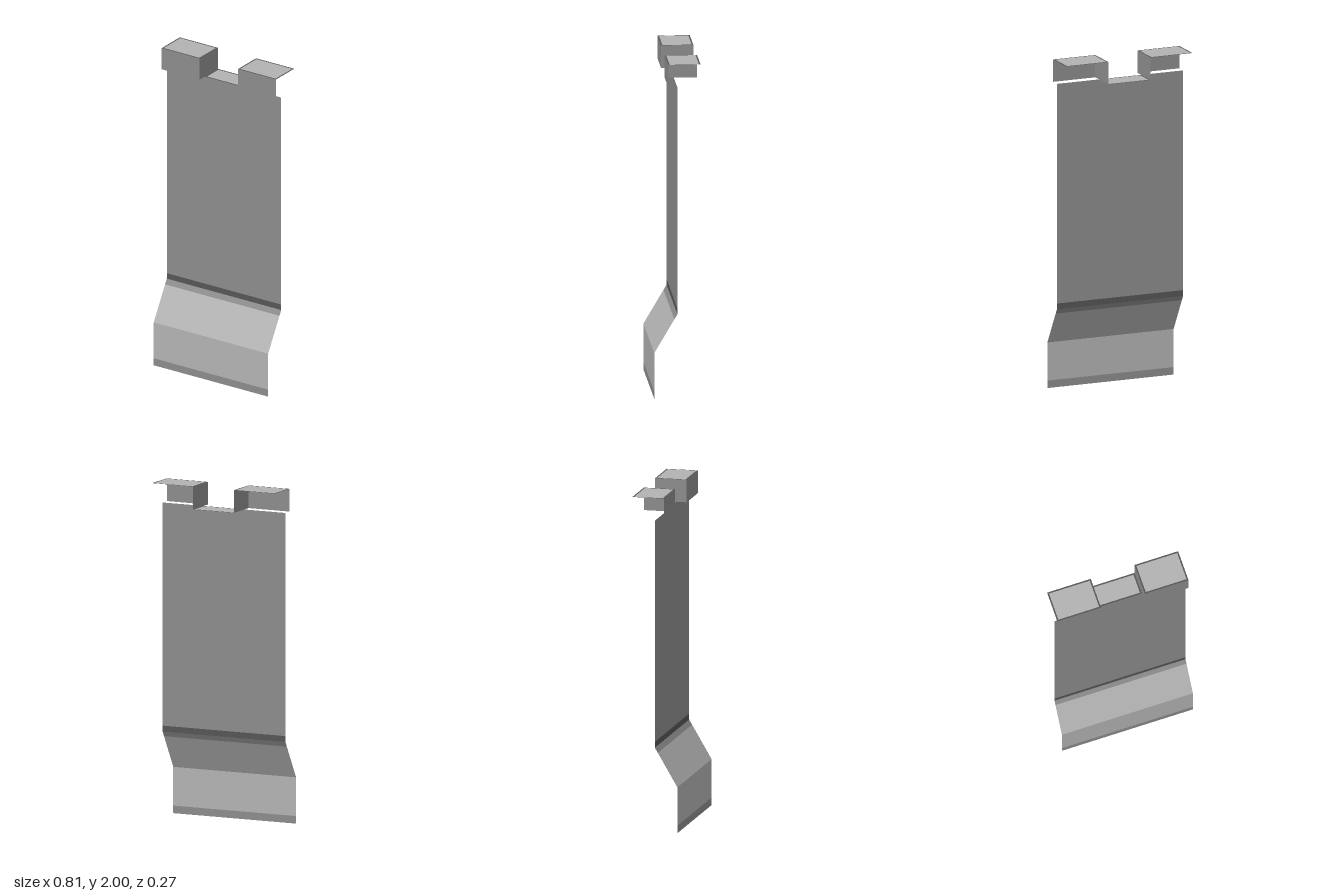
import * as THREE from 'three';

const mat = (name, color) => {
  const m = new THREE.MeshStandardMaterial({ color, side: THREE.DoubleSide });
  m.name = name;
  return m;
};

export function createModel() {
  const model = new THREE.Group();
  model.name = 'hangingPanel';
  const light = mat('lightGrey', 0xb2b2b2);
  const mid = mat('midGrey', 0x8c8c8c);
  const dark = mat('darkGrey', 0x565656);

  const W = 0.405, IN = 0.135, BACK = -0.136, FRONT = 0.054, TOP = 2, SHELF = 1.865;

  const add = (parent, name, geometry, material) => {
    const mesh = new THREE.Mesh(geometry, material);
    mesh.name = name;
    parent.add(mesh);
    return mesh;
  };

  // Flat four-cornered sheet, corners anticlockwise seen from its front
  const sheet = (parent, name, corners, material) => {
    const g = new THREE.BufferGeometry();
    g.setAttribute('position', new THREE.Float32BufferAttribute(corners.flat(), 3));
    g.setIndex([0, 1, 2, 0, 2, 3]);
    g.computeVertexNormals();
    return add(parent, name, g, material);
  };

  // Horizontal plate: pale centre inside a narrow dark border
  const plate = (parent, name, x0, x1, z0, z1, y) => {
    const b = 0.009;
    const rect = (P, i) => new P([
      new THREE.Vector2(x0 + i, -z1 + i), new THREE.Vector2(x1 - i, -z1 + i),
      new THREE.Vector2(x1 - i, -z0 - i), new THREE.Vector2(x0 + i, -z0 - i)]);
    const rim = rect(THREE.Shape, 0);
    rim.holes.push(rect(THREE.Path, b));
    const parts = [['Border', rim, dark], ['Centre', rect(THREE.Shape, b), light]];
    for (const [suffix, shape, material] of parts) {
      const g = new THREE.ShapeGeometry(shape).rotateX(-Math.PI / 2).translate(0, y, 0);
      add(parent, name + suffix, g, material);
    }
  };

  // Folded front panel, listed upwards as [y, z, name and colour of the band above]
  const bands = [
    [0, 0.136, 'bottomHem', mid],
    [0.045, 0.136, 'lowerPanel', light],
    [0.275, 0.136, 'slopedPanel', light],
    [0.475, 0.018, 'slopeTopBand', mid],
    [0.505, 0, 'foldBand', dark],
    [0.54, 0, 'mainPanel', mid],
    [SHELF, 0],
  ];
  for (let i = 0; i < bands.length - 1; i++) {
    const [y0, z0, name, material] = bands[i];
    const [y1, z1] = bands[i + 1];
    sheet(model, name, [[-W, y0, z0], [W, y0, z0], [W, y1, z1], [-W, y1, z1]], material);
  }

  // Low shelf between the two raised ends
  plate(model, 'middleShelf', -IN, IN, BACK, 0, SHELF);

  // Raised ends, open at the back, outside and below
  for (const s of [-1, 1]) {
    const end = new THREE.Group();
    end.name = s > 0 ? 'leftRaisedEnd' : 'rightRaisedEnd';
    const x0 = Math.min(s * IN, s * W), x1 = Math.max(s * IN, s * W), xi = s * IN;
    plate(end, 'top', x0, x1, BACK, FRONT, TOP);
    sheet(end, 'frontFlap',
      [[x0, SHELF, FRONT], [x1, SHELF, FRONT], [x1, TOP, FRONT], [x0, TOP, FRONT]], mid);
    const za = s > 0 ? BACK : FRONT, zb = s > 0 ? FRONT : BACK;
    sheet(end, 'innerWall',
      [[xi, SHELF, za], [xi, SHELF, zb], [xi, TOP, zb], [xi, TOP, za]], mid);
    model.add(end);
  }
  return model;
}
